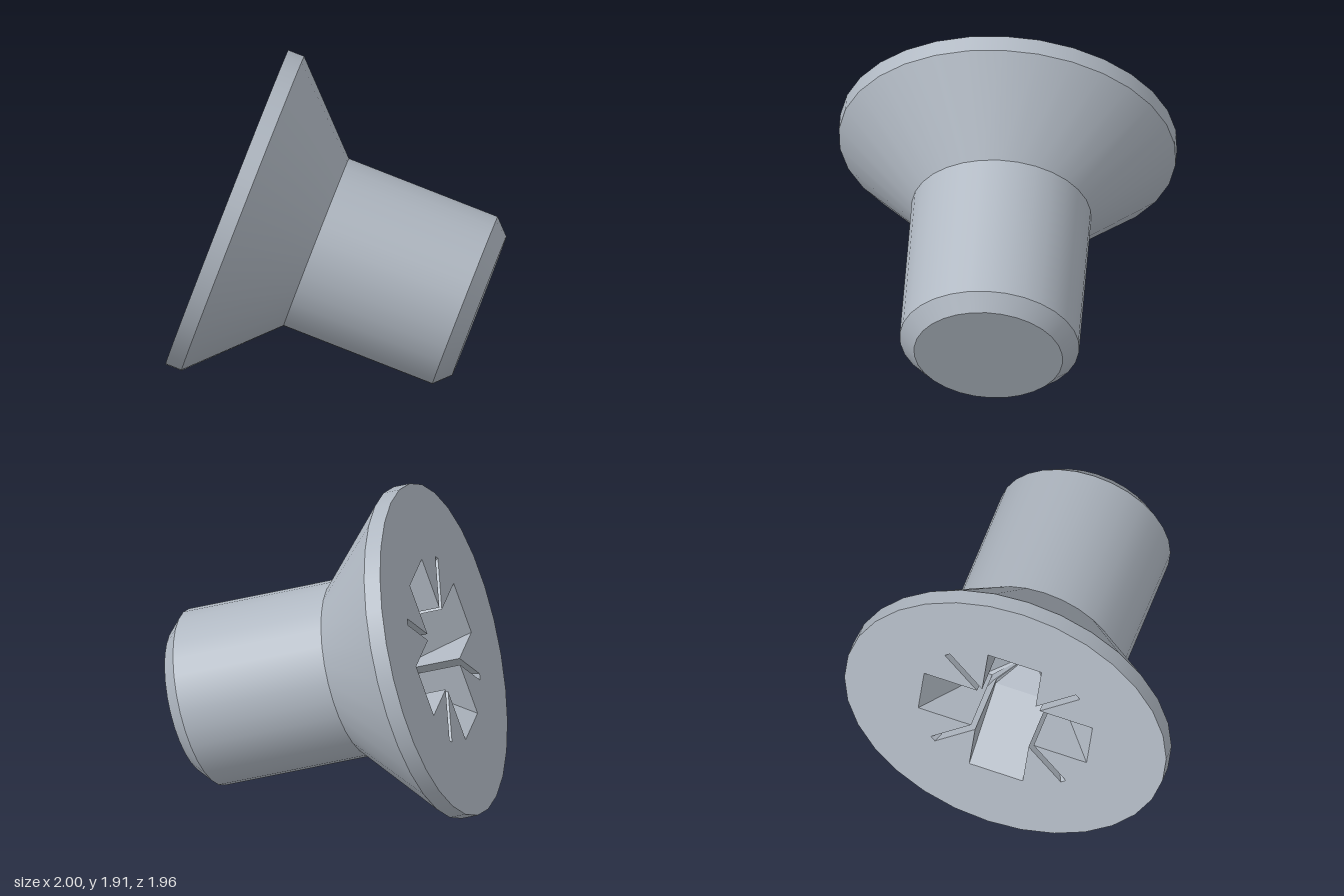
import * as THREE from 'three';

const SIDES = 30;
const HEAD_R = 0.988, SHAFT_R = 0.526, END_R = 0.436;

// Outline of the cross recess with four thin diagonal slots, counter-clockwise
function recessOutline(armEnd, slotEnd) {
  const w = 0.165, g = 0.028, e = slotEnd * Math.SQRT1_2;
  const quarter = [
    [armEnd, -w], [armEnd, w], [w + g, w],
    [e + g / 2, e - g / 2], [e - g / 2, e + g / 2], [w, w + g],
  ];
  const points = [];
  for (let q = 0; q < 4; q++) {
    for (const [x, y] of quarter) {
      points.push(new THREE.Vector2(x, y).rotateAround(new THREE.Vector2(), q * Math.PI / 2));
    }
  }
  return points;
}

// Sloping recess walls closed by a shallow pointed floor
function recessGeometry(top, bottom, depth, tipDepth) {
  const pos = [];
  const put = (p, z) => pos.push(p.x, p.y, z);
  const centre = new THREE.Vector2();
  top.forEach((a, i) => {
    const j = (i + 1) % top.length;
    put(a, 0); put(top[j], 0); put(bottom[j], -depth);
    put(a, 0); put(bottom[j], -depth); put(bottom[i], -depth);
    put(bottom[i], -depth); put(bottom[j], -depth); put(centre, -tipDepth);
  });
  const geo = new THREE.BufferGeometry();
  geo.setAttribute('position', new THREE.Float32BufferAttribute(pos, 3));
  geo.computeVertexNormals();
  return geo.rotateX(-Math.PI / 2);
}

export function createModel() {
  const model = new THREE.Group();
  model.name = 'countersunkScrew';
  const steel = new THREE.MeshStandardMaterial({ color: 0xb0b8c2 });
  steel.name = 'steel grey';

  const add = (name, geo) => {
    const mesh = new THREE.Mesh(geo, steel);
    mesh.name = name;
    model.add(mesh);
    return mesh;
  };

  // Turned bands along the axis: name, start depth, end depth, start radius, end radius
  const bands = [
    ['headRim', 0, 0.1, HEAD_R, HEAD_R],
    ['headCone', 0.1, 0.56, HEAD_R, SHAFT_R],
    ['shaft', 0.56, 1.492, SHAFT_R, SHAFT_R],
    ['endChamfer', 1.492, 1.582, SHAFT_R, END_R],
  ];
  for (const [name, t0, t1, r0, r1] of bands) {
    add(name, new THREE.CylinderGeometry(r0, r1, t1 - t0, SIDES, 1, true))
      .position.y = -(t0 + t1) / 2;
  }

  // Flat end of the shaft
  add('shaftEnd', new THREE.CircleGeometry(END_R, SIDES, Math.PI / 2).rotateX(Math.PI / 2))
    .position.y = -1.582;

  // Head face with the driver recess cut out
  const mouth = recessOutline(0.52, 0.57);
  const rim = [];
  for (let i = 0; i < SIDES; i++) {
    const a = Math.PI / 2 + i / SIDES * Math.PI * 2;
    rim.push(new THREE.Vector2(Math.cos(a) * HEAD_R, Math.sin(a) * HEAD_R));
  }
  const face = new THREE.Shape(rim);
  face.holes.push(new THREE.Path(mouth));
  add('headFace', new THREE.ShapeGeometry(face).rotateX(-Math.PI / 2));
  add('driverRecess', recessGeometry(mouth, recessOutline(0.23, 0.275), 0.4, 0.52));

  // Tilt: the shaft points right, down and forward
  const axis = new THREE.Vector3(0.927, -0.32, 0.196).normalize();
  const y = axis.clone().negate();
  const x = new THREE.Vector3(-axis.z, 0, axis.x).normalize();
  const z = new THREE.Vector3().crossVectors(x, y);
  model.quaternion.setFromRotationMatrix(new THREE.Matrix4().makeBasis(x, y, z));
  model.position.set(-0.631, 0.971, -0.008);

  const root = new THREE.Group();
  root.name = 'screw';
  root.add(model);
  return root;
}
